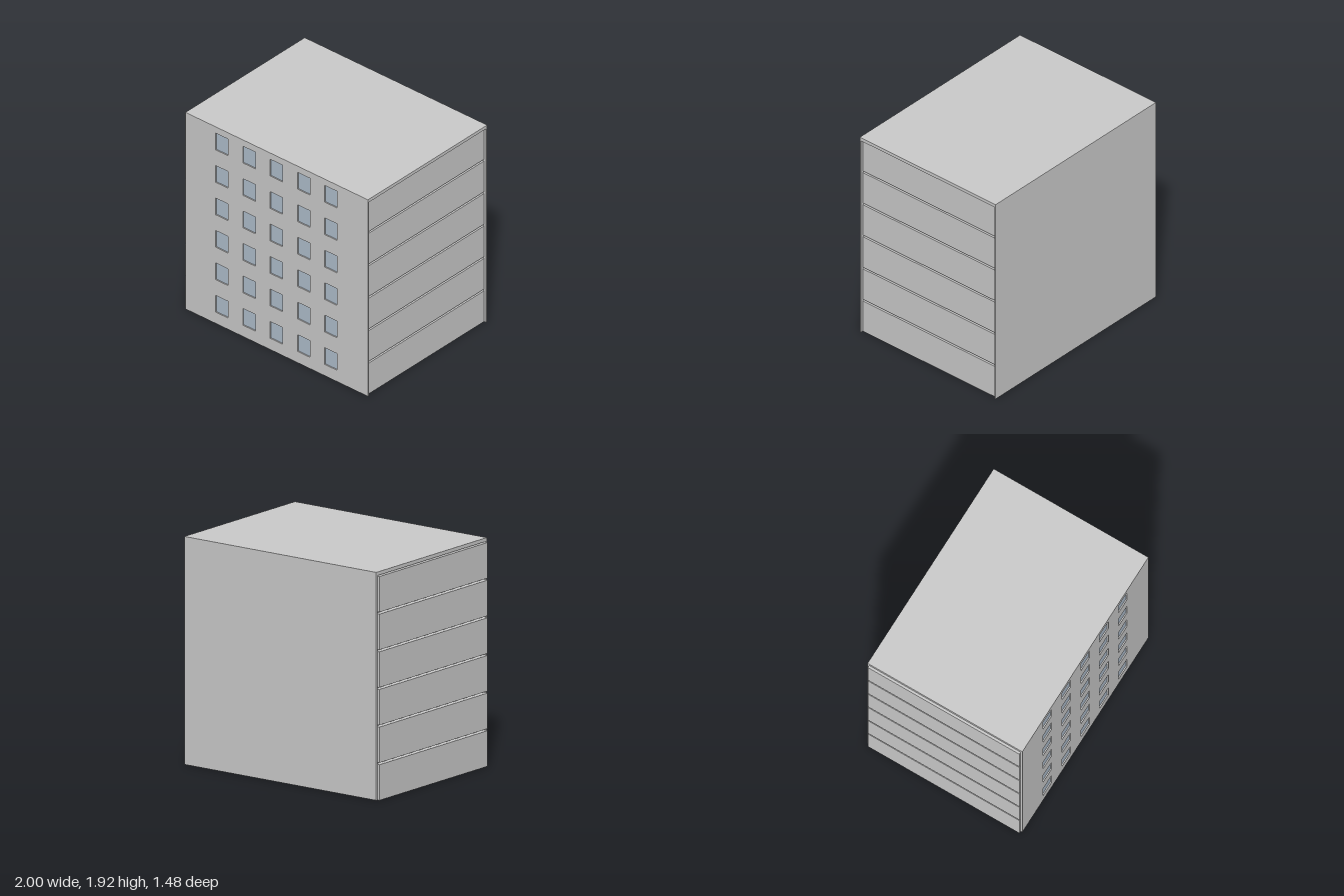
import * as THREE from 'three';

export function createModel() {
  const model = new THREE.Group();
  model.name = 'apartmentBlock';

  const mat = (name, color) => {
    const m = new THREE.MeshStandardMaterial({ color });
    m.name = name;
    return m;
  };
  const concrete = mat('concreteGrey', 0xcccccc);
  const glass = mat('windowBlue', 0xb0bfce);
  const leaf = mat('leafGreen', 0x4f9658);

  const add = (name, geometry, material, x = 0, y = 0, z = 0) => {
    const mesh = new THREE.Mesh(geometry, material);
    mesh.name = name;
    mesh.position.set(x, y, z);
    model.add(mesh);
    return mesh;
  };
  // box given by its lower and upper limits
  const block = (name, x0, x1, y0, y1, z0, z1, material = concrete) =>
    add(name, new THREE.BoxGeometry(x1 - x0, y1 - y0, z1 - z0), material,
      (x0 + x1) / 2, (y0 + y1) / 2, (z0 + z1) / 2);

  const FLOORS = 6, PITCH = 0.317, STOREY = 0.3, TOP = 1.92;
  const Z_IN = 0.725, Z_OUT = 0.74, T = 0.012;
  const windowX = [-2, -1, 0, 1, 2].map(i => 0.006 + i * 0.296);
  const W = 0.135, H = 0.163;

  // outer shell: front wall with window openings, back wall, roof
  const wall = new THREE.Shape();
  wall.moveTo(-0.98, 0).lineTo(1, 0).lineTo(1, TOP).lineTo(-0.98, TOP).closePath();
  for (let f = 0; f < FLOORS; f++) {
    for (const x of windowX) {
      const y = 0.192 + f * PITCH;
      const hole = new THREE.Path();
      hole.moveTo(x - W / 2, y - H / 2).lineTo(x - W / 2, y + H / 2)
        .lineTo(x + W / 2, y + H / 2).lineTo(x + W / 2, y - H / 2).closePath();
      wall.holes.push(hole);
      block('windowPane', x - W / 2, x + W / 2, y - H / 2, y + H / 2, Z_IN - 0.002, Z_IN + 0.004, glass);
    }
  }
  add('frontWall', new THREE.ExtrudeGeometry(wall, { depth: Z_OUT - Z_IN, bevelEnabled: false }), concrete, 0, 0, Z_IN);
  block('backWall', -0.98, 1, 0, TOP, -Z_OUT, -Z_IN);
  block('roof', -0.98, 1, 1.89, TOP, -Z_IN, Z_IN);

  // ground storey, open underneath
  block('groundCeiling', -1, 0.98, STOREY - T, STOREY, -Z_IN, Z_IN);
  block('groundRightWall', -1, -1 + T, 0, STOREY - T, -Z_IN, Z_IN);
  block('groundLeftWall', 0.98 - T, 0.98, 0, STOREY - T, -Z_IN, Z_IN);
  block('groundFrontWall', -1 + T, 0.98 - T, 0, STOREY - T, Z_IN - T, Z_IN - 0.001);
  block('groundBackWall', -1 + T, 0.98 - T, 0, STOREY - T, -Z_IN, -Z_IN + T);
  for (const x of windowX.filter(v => Math.abs(v) > 0.1))
    block('innerWindowPane', x - W / 2, x + W / 2, 0.14, 0.27, Z_IN - T - 0.002, Z_IN - T + 0.001, glass);

  // upper storeys, set slightly out of the shell on one side
  for (let f = 1; f < FLOORS; f++)
    block('storey', -1, 0.98, f * PITCH, f * PITCH + STOREY, -Z_IN, Z_IN);
  // core closing the gaps between storeys
  block('core', -0.96, 0.955, STOREY - 0.005, 1.895, -Z_IN + 0.005, Z_IN - 0.005);

  // ground storey columns
  for (const x of [-0.472, 0.024, 0.52])
    for (const z of [-0.274, 0.232])
      add('column', new THREE.CylinderGeometry(0.024, 0.024, 0.295, 8).toNonIndexed(), concrete, x, 0.1475, z);

  // small indoor tree reaching the ceiling
  add('treeTrunk', new THREE.CylinderGeometry(0.01, 0.01, 0.17, 8), concrete, 0.39, 0.085, -0.244);
  const crown = new THREE.CylinderGeometry(0.07, 0.15, 0.134, 12).toNonIndexed();
  crown.computeVertexNormals();
  add('treeCrown', crown, leaf, 0.39, 0.227, -0.244);

  return model;
}
